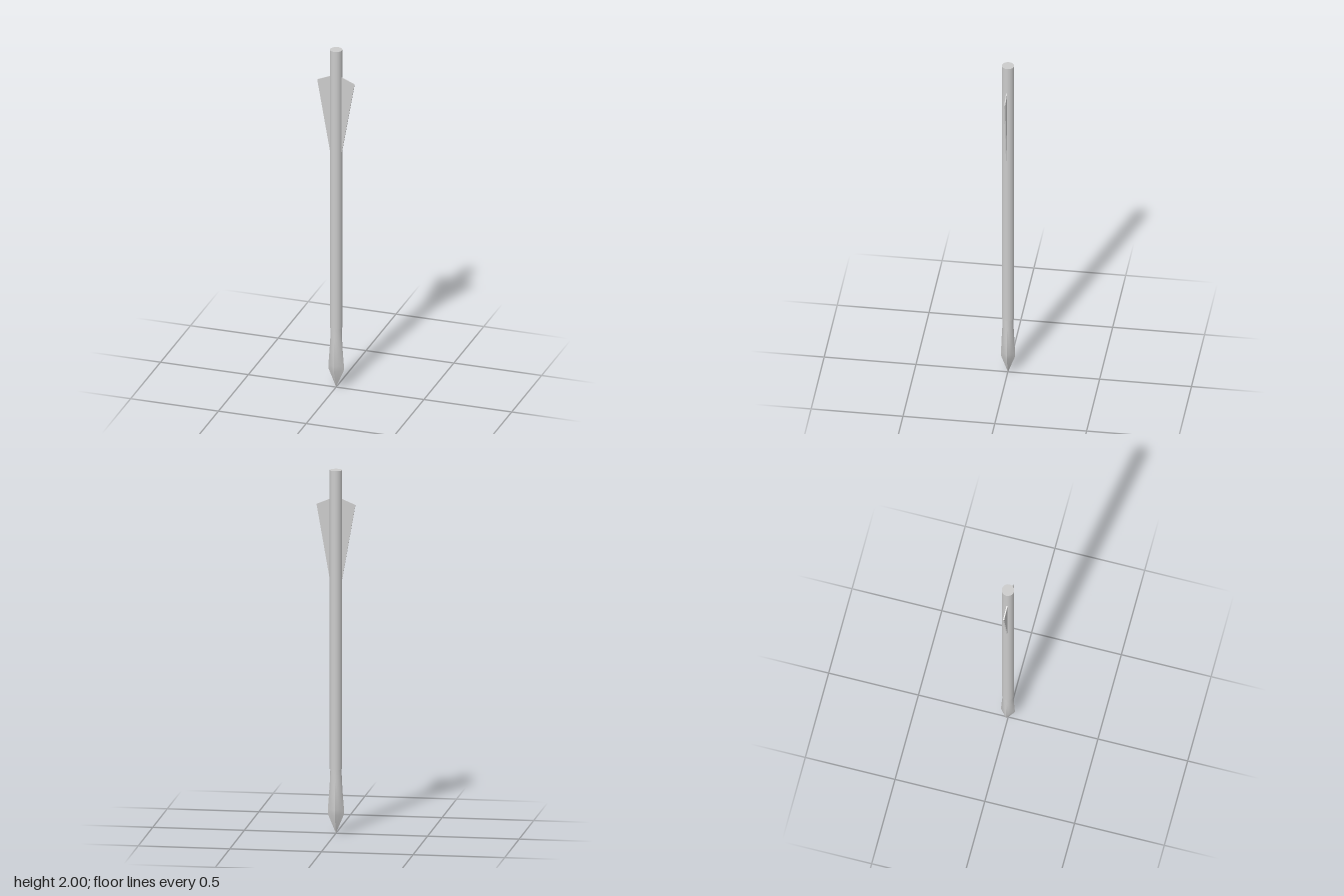
import * as THREE from 'three';
import { toCreasedNormals } from 'three/addons/utils/BufferGeometryUtils.js';

const material = new THREE.MeshStandardMaterial({ color: 0xcccccc });

function addPart(group, name, geometry) {
  const mesh = new THREE.Mesh(geometry, material);
  mesh.name = name;
  group.add(mesh);
  return mesh;
}

// Point that blends from a round neck to a diamond section, then to a tip
function headGeometry() {
  const sides = 16;
  // height, half width, half depth, roundness (2 = ellipse, 1 = diamond)
  const rings = [
    [0, 0, 0, 1],
    [0.105, 0.044, 0.039, 1],
    [0.135, 0.044, 0.038, 1.1],
    [0.21, 0.038, 0.035, 1.5],
    [0.29, 0.033, 0.031, 1.8],
    [0.37, 0.030, 0.030, 2],
  ];
  const positions = [];
  const index = [];
  for (const [y, w, d, p] of rings) {
    for (let i = 0; i < sides; i++) {
      const a = (i / sides) * Math.PI * 2;
      const c = Math.cos(a), s = Math.sin(a);
      const k = Math.pow(Math.abs(c) ** p + Math.abs(s) ** p, -1 / p);
      positions.push(w * k * c, y, d * k * s);
    }
  }
  for (let r = 0; r < rings.length - 1; r++) {
    for (let i = 0; i < sides; i++) {
      const j = (i + 1) % sides;
      const a = r * sides + i, b = r * sides + j;
      const c = a + sides, d = b + sides;
      if (r > 0) index.push(a, d, b);
      index.push(a, c, d);
    }
  }
  const geometry = new THREE.BufferGeometry();
  geometry.setAttribute('position', new THREE.Float32BufferAttribute(positions, 3));
  geometry.setIndex(index);
  return toCreasedNormals(geometry, 0.6);
}

// Thin vane, swept out toward the end of the shaft
function finGeometry(side) {
  const outline = [[0.025, 1.40], [0.034, 1.40], [0.106, 1.81], [0.034, 1.84], [0.025, 1.84]];
  const shape = new THREE.Shape(outline.map(([x, y]) => new THREE.Vector2(side * x, y)));
  return new THREE.ExtrudeGeometry(shape, { depth: 0.006, bevelEnabled: false });
}

export function createModel() {
  const group = new THREE.Group();
  group.name = 'arrow';

  // Shaft
  const shaft = addPart(group, 'shaft', new THREE.CylinderGeometry(0.034, 0.034, 1.645, 16));
  shaft.position.set(0, 2 - 1.645 / 2, -0.001);

  // Head
  addPart(group, 'head', headGeometry()).position.z = -0.001;

  // Fins
  for (const side of [1, -1]) {
    addPart(group, side > 0 ? 'leftFin' : 'rightFin', finGeometry(side)).position.z = -0.001;
  }
  return group;
}
